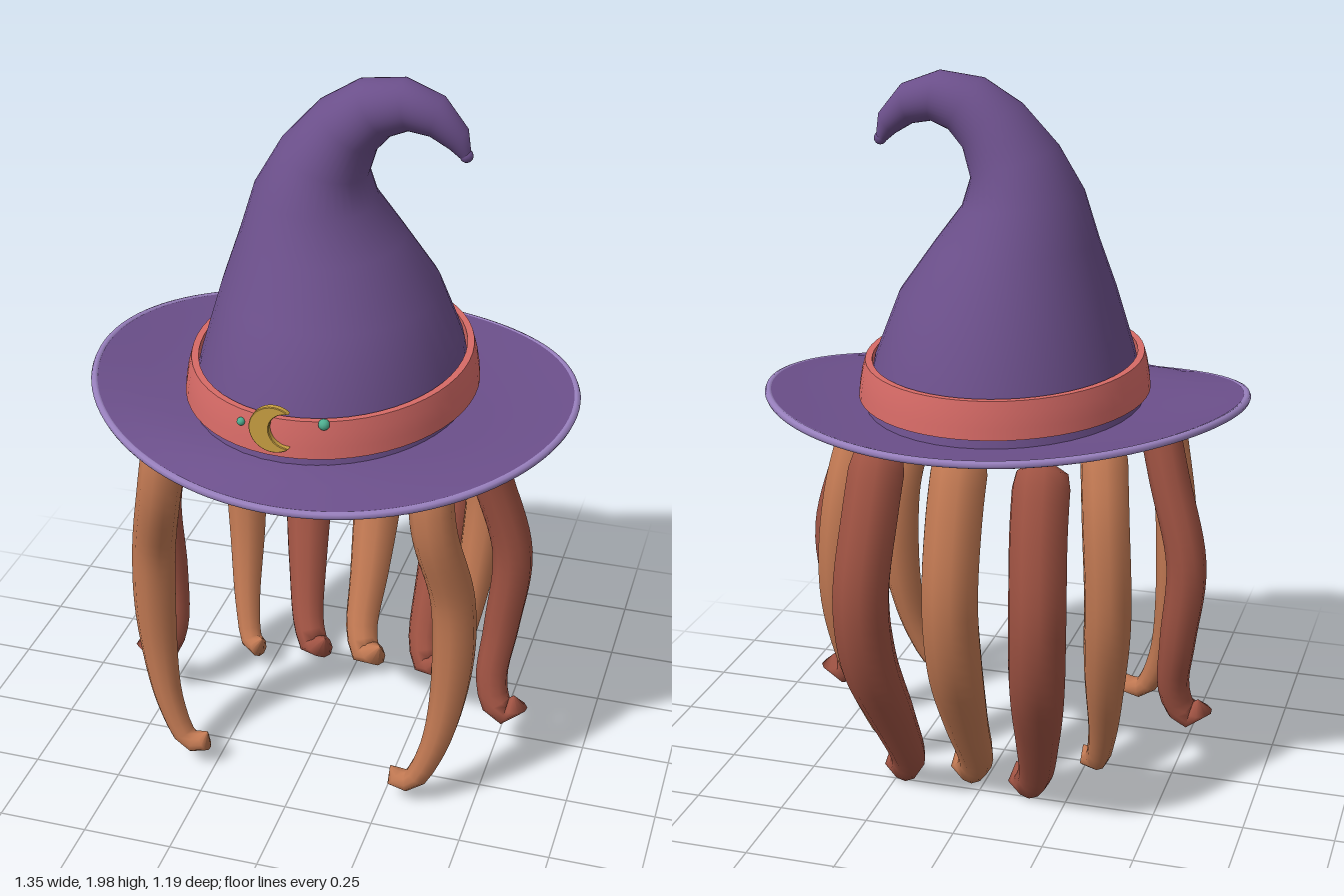
import * as THREE from 'three';
import { toCreasedNormals } from 'three/addons/utils/BufferGeometryUtils.js';

const V = (x, y, z) => new THREE.Vector3(x, y, z);
const paint = (color, side = THREE.FrontSide) => new THREE.MeshStandardMaterial({ color, side });

const purple = paint(0x6b4f8a, THREE.DoubleSide);
const lilac = paint(0x9880bd);
const coral = paint(0xd66a66);
const gold = paint(0xc99f42);
const green = paint(0x4fae90);
const tan = paint(0xc07852);
const rust = paint(0x9e5242);

// Skin a list of closed rings, each with the same number of points
function loft(rings, closed = false) {
  const n = rings[0].length, m = rings.length, index = [];
  for (let i = 0; i < (closed ? m : m - 1); i++) {
    for (let j = 0; j < n; j++) {
      const k = (j + 1) % n, next = (i + 1) % m;
      const a = i * n + j, b = i * n + k, c = next * n + j, d = next * n + k;
      index.push(a, b, c, b, d, c);
    }
  }
  const geo = new THREE.BufferGeometry().setFromPoints(rings.flat());
  geo.setIndex(index);
  geo.computeVertexNormals();
  return geo;
}

// Points around the vertical axis; f gets the cosine (+x) and sine (+z)
function ring(n, f) {
  return Array.from({ length: n }, (_, j) => {
    const a = (j / n) * Math.PI * 2;
    return f(Math.cos(a), -Math.sin(a));
  });
}

function add(group, name, geo, material) {
  const mesh = new THREE.Mesh(geo, material);
  mesh.name = name;
  group.add(mesh);
  return mesh;
}

// Crown sections: left x, y, right x, y, half depth, z centre
const crownSections = [
  [-0.385, 1.085, 0.38, 1.085, 0.46, 0.012],
  [-0.35, 1.24, 0.35, 1.24, 0.425, 0.015],
  [-0.30, 1.42, 0.285, 1.41, 0.33, 0.01],
  [-0.255, 1.56, 0.185, 1.55, 0.245, 0],
  [-0.215, 1.69, 0.11, 1.65, 0.19, 0],
  [-0.145, 1.81, 0.087, 1.725, 0.145, 0],
  [-0.045, 1.92, 0.11, 1.80, 0.108, 0],
  [0.06, 1.985, 0.15, 1.845, 0.085, 0],
  [0.18, 2.0, 0.20, 1.865, 0.07, 0],
  [0.285, 1.96, 0.255, 1.855, 0.055, 0],
  [0.35, 1.88, 0.305, 1.825, 0.035, 0],
  [0.36, 1.815, 0.335, 1.80, 0.015, 0],
];

// Brim surface: t runs from the crown (0) to the edge (1)
function brimPoint(c, s, t, lift) {
  const edge = 1.07 - 0.035 * s + 0.06 * c * c - 0.015 * c;
  const y = THREE.MathUtils.lerp(1.1, edge, Math.pow(t, 1.5));
  const rx = THREE.MathUtils.lerp(0.375, 0.665, t);
  const rz = THREE.MathUtils.lerp(0.452, 0.567, t);
  return V(rx * c, y + lift, 0.014 + rz * s);
}

function buildHat() {
  const hat = new THREE.Group();
  hat.name = 'hat';

  add(hat, 'crown', loft(crownSections.map(([lx, ly, rx, ry, hz, cz]) =>
    ring(40, (c, s) => V(
      (lx + rx) / 2 + (rx - lx) / 2 * c,
      (ly + ry) / 2 + (ry - ly) / 2 * c,
      cz + hz * s)))), purple);
  add(hat, 'crownTip', new THREE.SphereGeometry(0.018, 12, 8), purple).position.set(0.348, 1.81, 0);

  // Thin brim: underside outwards, then top side back in
  const steps = [0, 0.25, 0.5, 0.75, 1];
  const brimRings = [
    ...steps.map(t => ring(56, (c, s) => brimPoint(c, s, t, -0.009))),
    ...steps.slice().reverse().map(t => ring(56, (c, s) => brimPoint(c, s, t, 0.009))),
  ];
  add(hat, 'brim', toCreasedNormals(loft(brimRings, true), 0.8), purple);

  const edge = new THREE.CatmullRomCurve3(ring(56, (c, s) => brimPoint(c, s, 1, 0)), true);
  add(hat, 'brimTrim', new THREE.TubeGeometry(edge, 112, 0.011, 8, true), lilac);

  // Band profile: x radius, z radius, y
  const bandProfile = [
    [0.396, 0.467, 1.135], [0.393, 0.464, 1.165], [0.386, 0.459, 1.205], [0.377, 0.452, 1.236],
    [0.358, 0.434, 1.236], [0.365, 0.44, 1.135],
  ];
  const bandRings = bandProfile.map(([rx, rz, y]) => ring(56, (c, s) => V(rx * c, y, 0.015 + rz * s)));
  add(hat, 'band', toCreasedNormals(loft(bandRings, true), 0.8), coral);

  // Crescent: outer arc round the left, inner arc back
  const crescent = new THREE.Shape();
  const R = 0.063, r = 0.05, off = 0.036;
  const tipX = (R * R - r * r + off * off) / (2 * off);
  const tipY = Math.sqrt(R * R - tipX * tipX);
  const a = Math.atan2(tipY, tipX), b = Math.atan2(tipY, tipX - off);
  crescent.absarc(0, 0, R, a, Math.PI * 2 - a, false);
  crescent.absarc(off, 0, r, Math.PI * 2 - b, b, true);
  const moon = new THREE.ExtrudeGeometry(crescent, {
    depth: 0.014, bevelEnabled: true, bevelSize: 0.002, bevelThickness: 0.002, bevelSegments: 1, curveSegments: 20,
  });
  add(hat, 'crescentOrnament', moon, gold).position.set(-0.02, 1.215, 0.477);

  for (const [x, y, z, size] of [[-0.118, 1.206, 0.455, 0.011], [0.104, 1.231, 0.455, 0.015]]) {
    add(hat, 'gem', new THREE.SphereGeometry(size, 12, 8), green).position.set(x, y, z);
  }
  return hat;
}

// Tapered tentacle with rounded ends
function tentacle(points, radius, tipScale) {
  const curve = new THREE.CatmullRomCurve3(points.map(p => V(...p)));
  const N = 30, sides = 10;
  const frames = curve.computeFrenetFrames(N);
  const rings = [];
  for (let i = 0; i <= N; i++) {
    const t = i / N, p = curve.getPointAt(t);
    const taper = THREE.MathUtils.lerp(1, tipScale, THREE.MathUtils.smoothstep(t, 0.45, 1));
    const end = Math.min(1, t / 0.06, (1 - t) / 0.045);
    const w = radius * taper * Math.max(0.02, Math.sqrt(1 - (1 - end) ** 2));
    rings.push(Array.from({ length: sides }, (_, j) => {
      const a = (j / sides) * Math.PI * 2;
      return p.clone()
        .addScaledVector(frames.normals[i], w * Math.cos(a))
        .addScaledVector(frames.binormals[i], w * Math.sin(a));
    }));
  }
  return loft(rings);
}

export function createModel() {
  const model = new THREE.Group();
  model.name = 'tentacledHat';
  model.add(buildHat());

  const tentacles = new THREE.Group();
  tentacles.name = 'tentacles';
  model.add(tentacles);

  // Mirrored pairs at the front, sides and rear sides
  const pairs = [
    ['frontTentacle', tan, 0.06, 0.5, [[0.36, 1.09, 0.37], [0.38, 0.92, 0.385], [0.425, 0.68, 0.335],
      [0.425, 0.42, 0.335], [0.385, 0.2, 0.36], [0.325, 0.09, 0.375], [0.275, 0.1, 0.375], [0.27, 0.13, 0.375]]],
    ['sideTentacle', rust, 0.056, 0.75, [[0.41, 1.09, 0.08], [0.46, 0.9, 0.045], [0.52, 0.66, 0.02],
      [0.5, 0.42, 0.03], [0.485, 0.26, 0.065], [0.51, 0.18, 0.085], [0.55, 0.17, 0.085], [0.555, 0.22, 0.08]]],
    ['rearSideTentacle', tan, 0.064, 0.5, [[0.33, 1.1, -0.2], [0.36, 0.9, -0.29], [0.375, 0.66, -0.31],
      [0.36, 0.42, -0.265], [0.335, 0.2, -0.18], [0.305, 0.1, -0.13], [0.275, 0.1, -0.11], [0.265, 0.13, -0.11]]],
  ];
  for (const [name, material, radius, tip, path] of pairs) {
    for (const side of [1, -1]) {
      const points = path.map(([x, y, z]) => [x * side, y, z]);
      add(tentacles, name, tentacle(points, radius, tip), material);
    }
  }

  // Three at the back share one sweep in depth and differ sideways
  const sweep = [[1.09, -0.4], [0.92, -0.48], [0.7, -0.525], [0.5, -0.49],
    [0.27, -0.37], [0.1, -0.265], [0.05, -0.225], [0.1, -0.205]];
  const back = [
    ['backLeftTentacle', rust, 0.077, 0, [0.22, 0.225, 0.24, 0.235, 0.21, 0.205, 0.235, 0.275]],
    ['backRightTentacle', rust, 0.077, 0, [-0.22, -0.23, -0.24, -0.23, -0.2, -0.165, -0.13, -0.095]],
    ['backCentreTentacle', tan, 0.077, 0.015, [0, 0, 0, 0, 0.005, 0.01, 0.04, 0.085]],
  ];
  for (const [name, material, radius, shift, xs] of back) {
    const points = sweep.map(([y, z], i) => [xs[i], y + shift, z + shift]);
    add(tentacles, name, tentacle(points, radius, 0.58), material);
  }
  return model;
}
